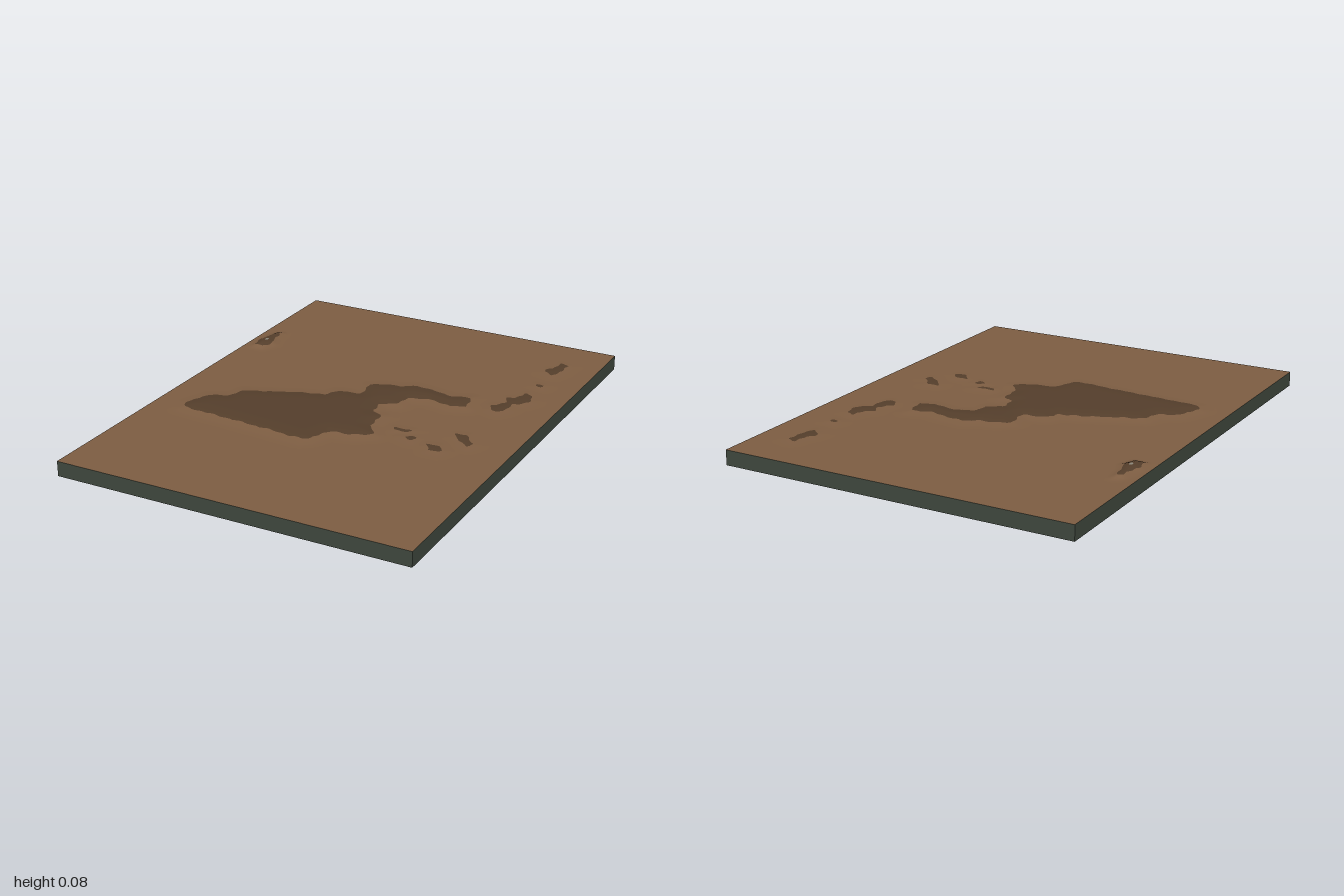
import * as THREE from 'three';

const W = 1.5, D = 2, BASE = 0.0625, LAND = 0.063;

// Patch outlines as x, z pairs
const mainland = [
  -.62, .31, -.58, .21, -.50, .17, -.48, .10, -.38, .06, -.24, 0, -.16, -.02, -.13, -.08, -.03, -.10,
  -.04, -.20, .01, -.235, .08, -.245, .13, -.28, .22, -.27, .32, -.25, .39, -.28, .41, -.18, .35, -.16,
  .24, -.18, .16, -.145, .15, -.08, .085, -.045, .095, .03, .15, .06, .15, .16, .20, .23, .14, .27,
  .03, .29, -.005, .38, -.03, .40, -.18, .385, -.39, .37, -.55, .36, -.60, .355];
const hill = [-.69, -.52, -.67, -.54, -.66, -.47, -.64, -.41, -.66, -.36, -.70, -.36, -.71, -.42, -.70, -.46];
const islets = [
  [.58, -.80, .615, -.79, .605, -.70, .59, -.655, .57, -.67, .545, -.68, .55, -.72, .57, -.74],
  [.57, -.54, .60, -.54, .60, -.52, .575, -.52],
  [.57, -.43, .60, -.41, .62, -.36, .60, -.32, .56, -.30, .565, -.24, .54, -.195, .50, -.21, .49, -.245, .53, -.30, .52, -.35, .55, -.37],
  [.48, .07, .53, .06, .55, .10, .58, .13, .57, .155, .54, .14, .49, .10],
  [.42, .21, .47, .20, .50, .235, .49, .255, .45, .255, .43, .23],
  [.24, .13, .32, .12, .31, .14, .25, .155],
  [.30, .19, .34, .17, .36, .18, .355, .21]];

// Each patch has a rise and a slope half-width
const patches = [
  { pts: mainland, rise: 0.0115, slope: 0.07 },
  { pts: hill, rise: 0.019, slope: 0.035 },
  ...islets.map(pts => ({ pts, rise: 0.006, slope: 0.06 }))];

// Signed distance to an outline, positive inside
function signedDistance(p, x, z) {
  let best = Infinity, inside = false;
  for (let i = 0, j = p.length - 2; i < p.length; j = i, i += 2) {
    const ax = p[j], az = p[j + 1], ex = p[i] - ax, ez = p[i + 1] - az;
    const t = THREE.MathUtils.clamp(((x - ax) * ex + (z - az) * ez) / (ex * ex + ez * ez), 0, 1);
    best = Math.min(best, Math.hypot(x - ax - t * ex, z - az - t * ez));
    if ((az > z) !== (p[i + 1] > z) && x < ax + ex * (z - az) / ez) inside = !inside;
  }
  return inside ? best : -best;
}

// Height and patch distance at a point, with a slightly ragged outline
function sample(x, z) {
  let rise = 0, dist = -1;
  const ragged = 0.003 * (Math.sin(91 * x + 40 * z) + Math.sin(117 * z - 53 * x));
  for (const { pts, rise: r, slope } of patches) {
    const d = signedDistance(pts, x, z);
    rise = Math.max(rise, r * THREE.MathUtils.smoothstep(d, -slope, slope));
    dist = Math.max(dist, d + ragged);
  }
  return { y: LAND + rise, dist };
}

// Keeps the part of a polygon where sign * value[key] is positive
function clip(poly, key, sign) {
  const out = [];
  poly.forEach((a, i) => {
    const b = poly[(i + 1) % poly.length], da = sign * a[key], db = sign * b[key];
    if (da >= 0) out.push(a);
    if ((da >= 0) !== (db >= 0)) {
      const t = da / (da - db);
      out.push(a.map((v, k) => v + (b[k] - v) * t));
    }
  });
  return out;
}

// Collects polygons as a fan of triangles
function addPolygon(target, poly) {
  for (let i = 1; i + 1 < poly.length; i++)
    for (const v of [poly[0], poly[i], poly[i + 1]]) {
      target.position.push(v[0], v[1], v[2]);
      target.normal.push(v[3], v[4], v[5]);
    }
}

export function createModel() {
  const group = new THREE.Group();

  // Solid base slab
  const base = new THREE.Mesh(new THREE.BoxGeometry(W, BASE, D),
    new THREE.MeshStandardMaterial({ color: 0x3f473d }));
  base.name = 'base';
  base.position.y = BASE / 2;
  group.add(base);

  // Sampled height grid
  const nx = 120, nz = 160, sx = W / nx, sz = D / nz;
  const grid = [];
  for (let i = 0; i <= nx; i++) {
    grid.push([]);
    for (let j = 0; j <= nz; j++) grid[i].push(sample(i * sx - W / 2, j * sz - D / 2));
  }
  // Vertex: x, y, z, normal, patch distance, summit distance
  const verts = grid.map((col, i) => col.map((s, j) => {
    const i0 = Math.max(i - 1, 0), i1 = Math.min(i + 1, nx), j0 = Math.max(j - 1, 0), j1 = Math.min(j + 1, nz);
    const n = new THREE.Vector3(
      (grid[i0][j].y - grid[i1][j].y) / ((i1 - i0) * sx), 1,
      (col[j0].y - col[j1].y) / ((j1 - j0) * sz)).normalize();
    const x = i * sx - W / 2, z = j * sz - D / 2;
    return [x, s.y, z, n.x, n.y, n.z, s.dist, 0.013 - Math.hypot((x + 0.675) * 1.4, z + 0.42)];
  }));

  // Split the surface into plain, raised ground and summit
  const layers = {
    plain: { color: 0x7d5d42, position: [], normal: [] },
    raisedGround: { color: 0x543e2b, position: [], normal: [] },
    summit: { color: 0x8a8578, position: [], normal: [] }
  };
  for (let i = 0; i < nx; i++)
    for (let j = 0; j < nz; j++) {
      const a = verts[i][j], b = verts[i][j + 1], c = verts[i + 1][j + 1], d = verts[i + 1][j];
      for (const tri of [[a, b, c], [a, c, d]]) {
        const high = clip(tri, 6, 1);
        addPolygon(layers.plain, clip(tri, 6, -1));
        addPolygon(layers.raisedGround, clip(high, 7, -1));
        addPolygon(layers.summit, clip(high, 7, 1));
      }
    }
  for (const [name, { color, position, normal }] of Object.entries(layers)) {
    const geometry = new THREE.BufferGeometry();
    geometry.setAttribute('position', new THREE.Float32BufferAttribute(position, 3));
    geometry.setAttribute('normal', new THREE.Float32BufferAttribute(normal, 3));
    const mesh = new THREE.Mesh(geometry, new THREE.MeshStandardMaterial({ color }));
    mesh.name = name;
    group.add(mesh);
  }
  return group;
}
